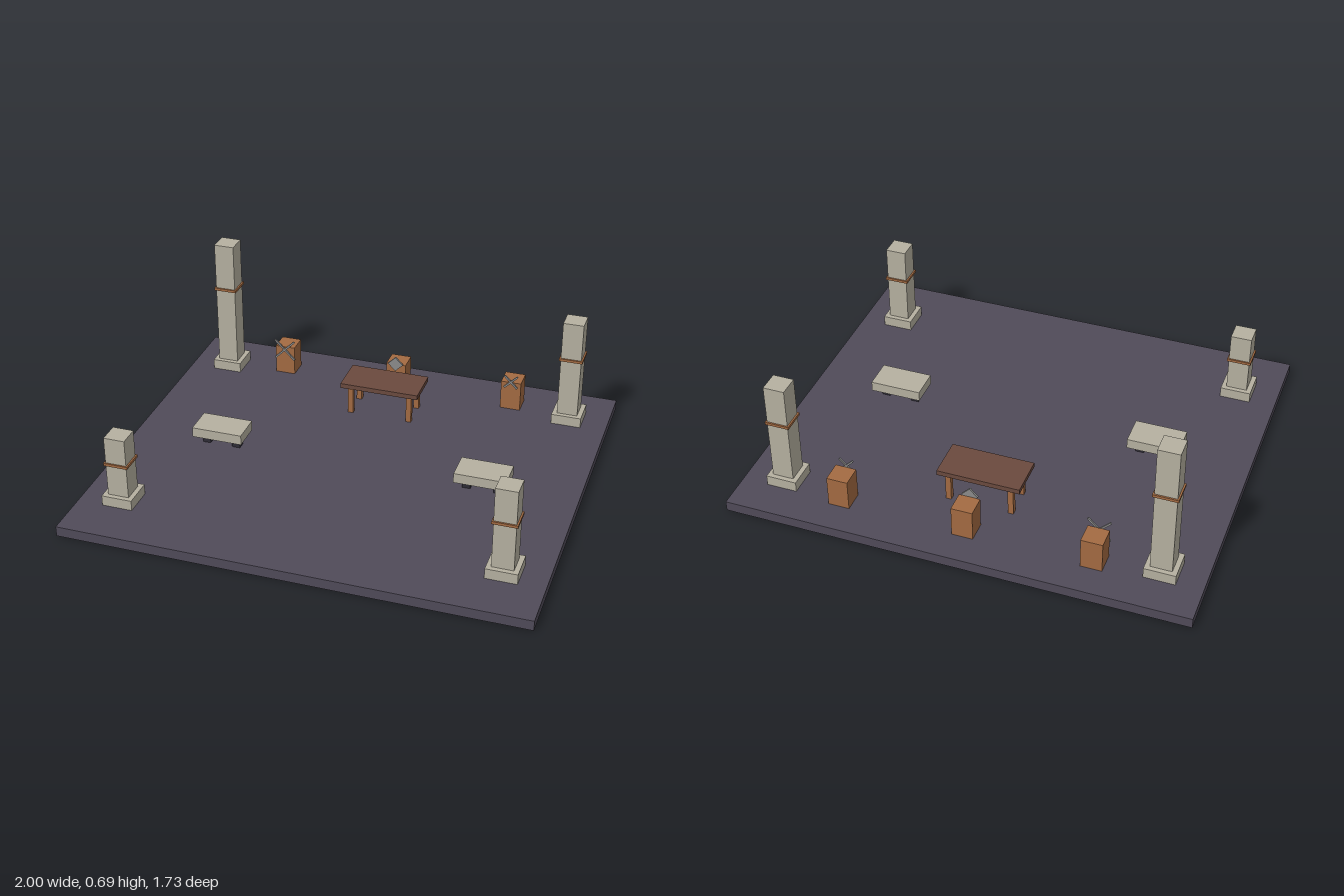
import * as THREE from 'three';

const mat = (color) => new THREE.MeshStandardMaterial({ color, flatShading: true });
const slate = mat(0x504b59), stone = mat(0xb6b1a1), copper = mat(0xa46b42);
const darkWood = mat(0x6b4a3e), dark = mat(0x2e2c36), steel = mat(0x8c8c8c);
const FLOOR = 0.045;

// Box standing on height y
function box(parent, name, material, [w, h, d], [x, y, z]) {
  const mesh = new THREE.Mesh(new THREE.BoxGeometry(w, h, d), material);
  mesh.name = name;
  mesh.position.set(x, y + h / 2, z);
  parent.add(mesh);
  return mesh;
}

function group(parent, name, x, y, z) {
  const g = new THREE.Group();
  g.name = name;
  g.position.set(x, y, z);
  parent.add(g);
  return g;
}

// Square column on a plinth with a thin band
function pillar(parent, name, x, z, top, bandY) {
  const g = group(parent, name, x, 0, z);
  box(g, 'plinth', stone, [0.134, 0.046, 0.134], [0, FLOOR, 0]);
  box(g, 'shaft', stone, [0.092, top - 0.091, 0.092], [0, 0.091, 0]);
  box(g, 'band', copper, [0.106, 0.012, 0.106], [0, bandY - 0.006, 0]);
}

// Stone slab seat on two short dark feet
function bench(parent, name, x) {
  const g = group(parent, name, x, FLOOR, 0.045);
  box(g, 'benchSeat', stone, [0.228, 0.045, 0.136], [0, 0.05, 0]);
  for (const s of [-1, 1]) box(g, 'benchFoot', dark, [0.036, 0.05, 0.036], [s * 0.069, 0, 0]);
}

// Two thin bars crossed in front of a stand
function crossedBars(parent, y, length) {
  for (const s of [-1, 1]) {
    const bar = box(parent, 'crossedBar', steel, [0.008, length, 0.008], [0, y - length / 2, 0.051]);
    bar.rotation.z = s * Math.PI / 4;
  }
}

export function createModel() {
  const model = new THREE.Group();
  model.name = 'courtyard';

  box(model, 'floor', slate, [2, FLOOR, 1.726], [0, 0, 0]);

  // Corner pillars of uneven height
  pillar(model, 'backRightPillar', -0.82, -0.638, 0.685, 0.462);
  pillar(model, 'backLeftPillar', 0.82, -0.638, 0.547, 0.367);
  pillar(model, 'frontRightPillar', -0.82, 0.592, 0.365, 0.24);
  pillar(model, 'frontLeftPillar', 0.82, 0.592, 0.457, 0.302);

  bench(model, 'rightBench', -0.593);
  bench(model, 'leftBench', 0.593);

  // Table
  const table = group(model, 'table', 0, FLOOR, -0.456);
  box(table, 'tableTop', darkWood, [0.362, 0.022, 0.182], [0, 0.13, 0]);
  for (const sx of [-1, 1]) for (const sz of [-1, 1]) {
    box(table, 'tableLeg', copper, [0.024, 0.13, 0.024], [sx * 0.137, 0, sz * 0.064]);
  }

  // Stands along the back, each carrying a display piece on its front
  const stands = [-0.547, 0, 0.547].map((x) => {
    const g = group(model, 'stand', x, FLOOR, -0.683);
    box(g, 'standBlock', copper, [0.092, 0.138, 0.092], [0, 0, 0]);
    return g;
  });
  crossedBars(stands[0], 0.125, 0.135);
  crossedBars(stands[2], 0.143, 0.085);
  const plate = box(stands[1], 'diamondPlate', steel, [0.05, 0.05, 0.01], [0, 0.118, 0.051]);
  plate.rotation.z = Math.PI / 4;

  return model;
}
